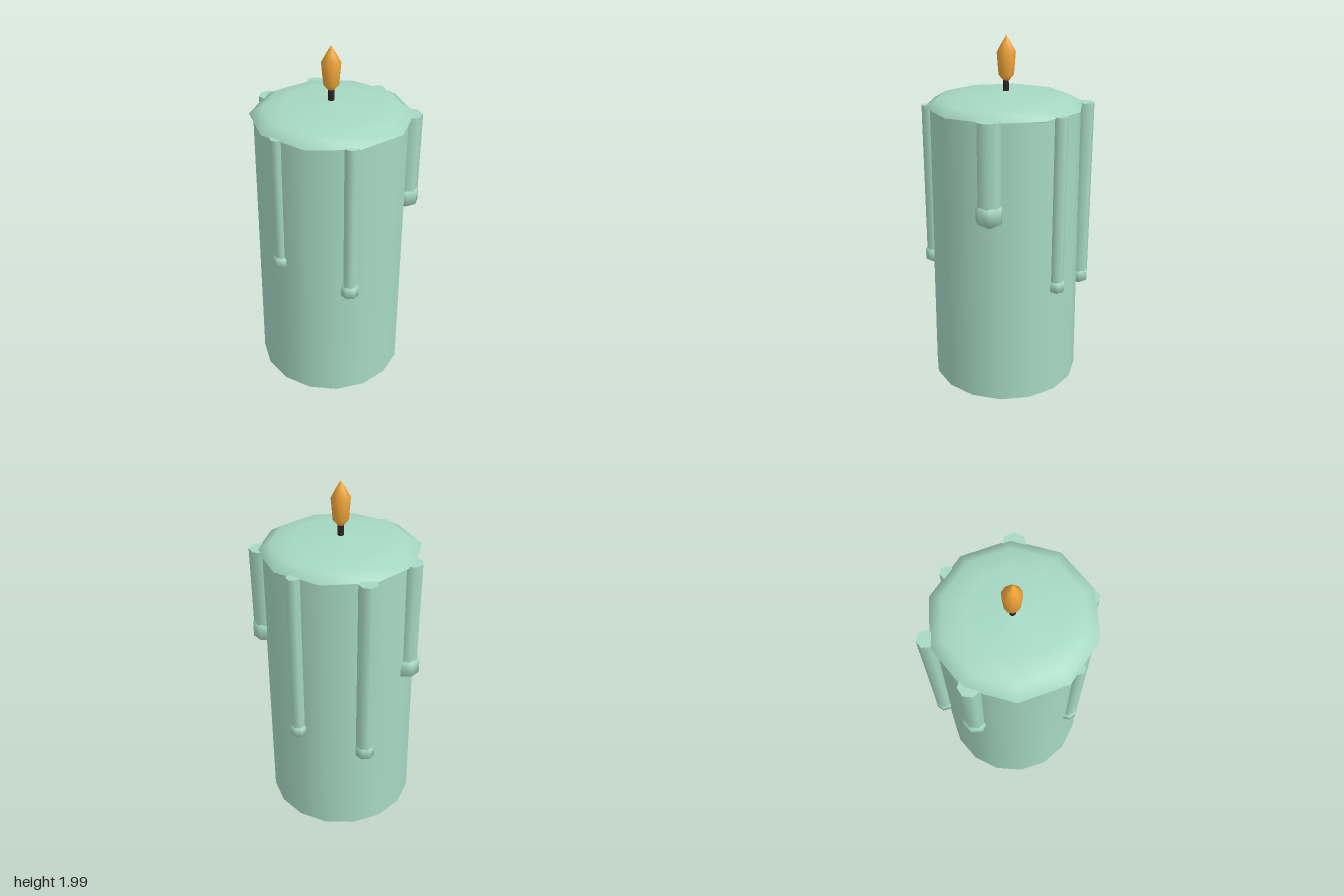
import * as THREE from 'three';

const material = (color) => new THREE.MeshStandardMaterial({ color });
const v2 = (points) => points.map(([r, y]) => new THREE.Vector2(r, y));

export function createModel() {
  const model = new THREE.Group();
  const wax = material(0xa6d8c4);
  const add = (name, geometry, mat, parent = model) => {
    const mesh = new THREE.Mesh(geometry, mat);
    mesh.name = name;
    parent.add(mesh);
    return mesh;
  };

  // Slightly tapered wax pillar, leaning a hair to one side at its foot
  const body = new THREE.CylinderGeometry(0.415, 0.427, 1.62, 16);
  body.translate(0, 0.82, 0);
  const p = body.attributes.position;
  for (let i = 0; i < p.count; i++) p.setX(i, p.getX(i) - 0.007 * (1 - p.getY(i) / 1.63));
  add('waxBody', body, wax);

  // Shallow ten-sided dome of melted wax with a thin underside
  add('waxCap', new THREE.LatheGeometry(v2([
    [0, 1.61], [0.41, 1.615], [0.44, 1.63], [0.37, 1.67], [0.25, 1.692], [0, 1.705],
  ]), 10), wax);

  // Wax drips: x, z, lowest point, stem radius, bead radius
  const drips = [
    [0.215, 0.35, 0.7, 0.04, 0.058],
    [-0.17, 0.372, 0.835, 0.036, 0.053],
    [0.4, -0.11, 1.06, 0.067, 0.085],
    [-0.4, -0.11, 0.93, 0.06, 0.083],
    [-0.225, -0.385, 0.53, 0.05, 0.062],
    [0.15, -0.395, 0.63, 0.037, 0.052],
  ];
  for (const [x, z, low, stem, bead] of drips) {
    const drip = new THREE.Group();
    drip.name = 'waxDrip';
    const y = low + bead;
    const height = 1.635 - y;
    add('dripStem', new THREE.CylinderGeometry(stem, stem, height, 7), wax, drip)
      .position.y = height / 2;
    add('dripBead', new THREE.SphereGeometry(bead, 7, 3), wax, drip);
    drip.position.set(x, y, z);
    drip.rotation.y = Math.atan2(x, z);
    model.add(drip);
  }

  // Wick
  add('wick', new THREE.CylinderGeometry(0.016, 0.018, 0.11, 8), material(0x2a2226))
    .position.set(-0.005, 1.735, -0.005);

  // Flame
  add('flame', new THREE.LatheGeometry(v2([
    [0, 1.757], [0.016, 1.76], [0.042, 1.79], [0.052, 1.91], [0.025, 1.96], [0, 2.0],
  ]), 10), material(0xf0a53a)).position.set(-0.006, 0, -0.007);

  return model;
}
